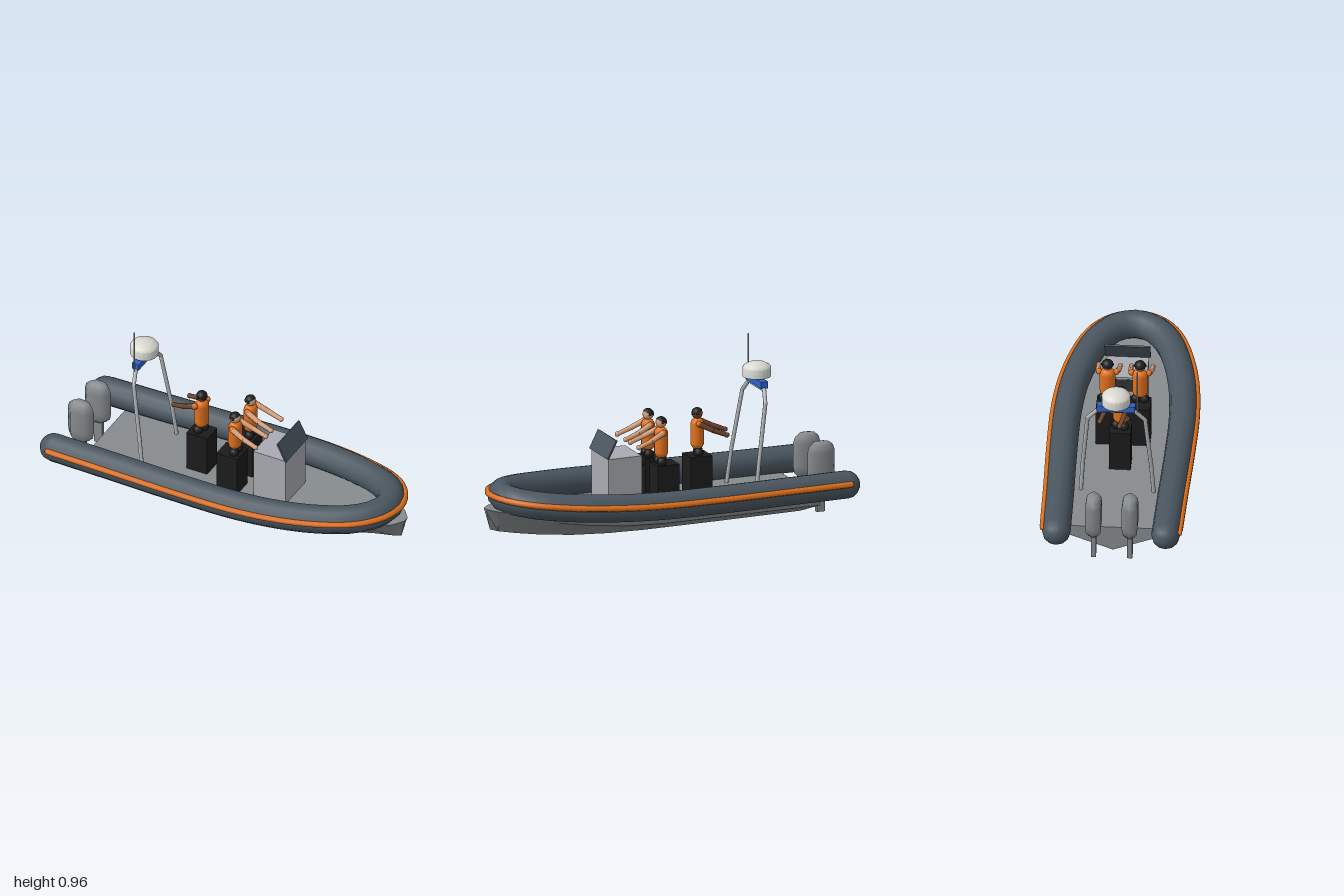
import * as THREE from 'three';
import { toCreasedNormals } from 'three/addons/utils/BufferGeometryUtils.js';

const mat = (name, color) => Object.assign(new THREE.MeshStandardMaterial({ color }), { name });
const V = (x, y, z) => new THREE.Vector3(x, y, z);

export function createModel() {
  const boat = new THREE.Group();
  boat.name = 'inflatableBoat';
  const rubber = mat('slate rubber', 0x4a5660), orange = mat('orange', 0xe2711d);
  const grey = mat('hull grey', 0x868b8e), panel = mat('console grey', 0xaaabb2);
  const metal = mat('light metal', 0xb4b8bc), black = mat('black', 0x1c1c1c);
  const darkSkin = mat('dark skin', 0x6b432c), lightSkin = mat('light skin', 0xd8a07a);
  const blue = mat('blue', 0x2f63cc), white = mat('off white', 0xdadad2);

  const add = (name, geo, material, x = 0, y = 0, z = 0, parent = boat) => {
    const m = new THREE.Mesh(geo, material);
    m.name = name;
    m.position.set(x, y, z);
    parent.add(m);
    return m;
  };
  const box = (w, h, d) => new THREE.BoxGeometry(w, h, d);
  // tapered rod between two points
  const rod = (name, a, b, r1, r2, material, parent) => {
    const d = b.clone().sub(a);
    const m = add(name, new THREE.CylinderGeometry(r2, r1, d.length(), 8), material, 0, 0, 0, parent);
    m.position.copy(a).addScaledVector(d, 0.5);
    m.quaternion.setFromUnitVectors(V(0, 1, 0), d.normalize());
    return m;
  };

  // Hull: keel x, sheer x, keel y, chine y, chine half width, sheer y, sheer half width
  const sections = [
    [-0.79, -0.79, 0.003, 0.1, 0.26, 0.145, 0.265],
    [-0.3, -0.3, 0, 0.1, 0.263, 0.147, 0.272],
    [0.1, 0.1, 0, 0.102, 0.263, 0.15, 0.272],
    [0.3, 0.3, 0.005, 0.11, 0.255, 0.158, 0.265],
    [0.5, 0.5, 0.018, 0.128, 0.23, 0.17, 0.24],
    [0.68, 0.69, 0.04, 0.152, 0.18, 0.185, 0.195],
    [0.82, 0.84, 0.064, 0.175, 0.12, 0.2, 0.135],
    [0.92, 0.95, 0.085, 0.192, 0.06, 0.211, 0.075],
    [0.968, 0.995, 0.1, 0.2, 0.012, 0.215, 0.018],
  ];
  const pos = [], idx = [], n = 5, last = (sections.length - 1) * n;
  sections.forEach(([kx, sx, ky, cy, cw, sy, sw], i) => {
    const cx = kx + (sx - kx) * 0.85;
    pos.push(sx, sy, sw, cx, cy, cw, kx, ky, 0, cx, cy, -cw, sx, sy, -sw);
    if (i * n === last) return;
    for (let j = 0; j < n; j++) {
      const a = i * n + j, d = i * n + (j + 1) % n;
      idx.push(a, d, d + n, a, d + n, a + n);
    }
  });
  for (let j = 1; j < n - 1; j++) idx.push(0, j + 1, j, last, last + j, last + j + 1);
  const hull = new THREE.BufferGeometry();
  hull.setAttribute('position', new THREE.Float32BufferAttribute(pos, 3));
  hull.setIndex(idx);
  add('hull', toCreasedNormals(hull, 0.45), grey);

  // Inflatable collar running round the bow, with rounded stern ends
  const half = [
    [-0.925, 0.203, 0.285], [-0.6, 0.204, 0.291], [-0.2, 0.206, 0.301], [0.15, 0.211, 0.302],
    [0.4, 0.222, 0.281], [0.6, 0.235, 0.239], [0.76, 0.25, 0.179], [0.855, 0.261, 0.1],
  ].map((p) => V(...p));
  const mirrored = half.slice().reverse().map((p) => V(p.x, p.y, -p.z));
  const path = new THREE.CatmullRomCurve3([...half, V(0.89, 0.265, 0), ...mirrored]);
  const R = 0.075;
  add('collarTube', new THREE.TubeGeometry(path, 64, R, 12), rubber);
  for (const s of [1, -1]) {
    add('collarEnd', new THREE.SphereGeometry(R, 12, 8).rotateZ(Math.PI / 2), rubber, -0.925, 0.203, s * 0.285);
  }

  // Rubbing strake along the outside of the collar
  const strake = [];
  for (let i = 0; i <= 48; i++) {
    const p = path.getPointAt(i / 48), t = path.getTangentAt(i / 48);
    strake.push(p.add(V(-t.z, 0, t.x).normalize().multiplyScalar(R - 0.003)).add(V(0, 0.018, 0)));
  }
  add('rubbingStrake', new THREE.TubeGeometry(new THREE.CatmullRomCurve3(strake), 96, 0.017, 6), orange);
  for (const i of [0, 48]) {
    add('strakeEnd', new THREE.SphereGeometry(0.016, 6, 4), orange, ...strake[i].toArray());
  }

  // Steering console, windscreen and wheel panel
  add('console', box(0.19, 0.295, 0.22), panel, 0.25, 0.2875, 0);
  add('windscreen', box(0.01, 0.11, 0.238), rubber, 0.325, 0.486, 0).rotation.z = 0.47;
  add('steeringPanel', box(0.01, 0.06, 0.15), black, 0.143, 0.395, 0).rotation.z = -0.47;

  // Seated crew, built facing +x and then turned
  const person = (x, z, yaw, skin) => {
    add('seat', box(0.122, 0.235, 0.112), black, x, 0.2575, z);
    const g = new THREE.Group();
    g.name = 'crewMember';
    g.position.set(x, 0, z);
    g.rotation.y = yaw;
    boat.add(g);
    for (const s of [1, -1]) {
      add('thigh', new THREE.SphereGeometry(0.026, 10, 8), black, 0.005, 0.388, s * 0.022, g);
      const shoulder = V(0.005, 0.55, s * 0.045), hand = V(0.15, 0.49, s * 0.056);
      const elbow = shoulder.clone().lerp(hand, 0.5).add(V(0, -0.004, s * 0.004));
      add('shoulder', new THREE.SphereGeometry(0.017, 8, 6), orange, ...shoulder.toArray(), g);
      rod('upperArm', shoulder, elbow, 0.016, 0.014, skin, g);
      rod('forearm', elbow, hand, 0.014, 0.012, skin, g);
      add('hand', new THREE.SphereGeometry(0.014, 8, 6), skin, ...hand.toArray(), g);
      add('earpiece', new THREE.SphereGeometry(0.008, 6, 5), black, 0, 0.6, s * 0.027, g);
    }
    add('torso', new THREE.CapsuleGeometry(0.036, 0.1, 4, 12), orange, 0, 0.489, 0, g).scale.z = 1.15;
    add('neck', new THREE.CylinderGeometry(0.013, 0.013, 0.03, 8), skin, 0, 0.57, 0, g);
    add('head', new THREE.SphereGeometry(0.029, 12, 10), skin, 0, 0.596, 0, g);
    const hair = new THREE.SphereGeometry(0.031, 12, 6, 0, Math.PI * 2, 0, Math.PI * 0.45);
    add('hair', hair, black, 0, 0.597, 0, g).rotation.z = 0.45;
  };
  person(0.015, 0.085, 0, lightSkin);
  person(0.015, -0.085, 0, lightSkin);
  person(-0.207, 0, Math.PI - 0.32, darkSkin);
  boat.children.filter((c) => c.name === 'crewMember').slice(0, 2).forEach((c) => { c.position.x = 0.035; });

  // Bent mast arch with straight segments
  const leg = [[-0.455, 0.14, 0.19], [-0.478, 0.33, 0.178], [-0.528, 0.65, 0.15], [-0.543, 0.71, 0.1]];
  const arch = [...leg, ...leg.slice().reverse().map(([x, y, z]) => [x, y, -z])].map((p) => V(...p));
  for (let i = 0; i < arch.length - 1; i++) {
    rod('archTube', arch[i], arch[i + 1], 0.011, 0.011, metal, boat);
    if (i) add('archJoint', new THREE.SphereGeometry(0.011, 8, 6), metal, ...arch[i].toArray());
  }
  add('archBar', box(0.04, 0.036, 0.2), blue, -0.545, 0.734, 0);
  add('radarMount', new THREE.CylinderGeometry(0.025, 0.025, 0.02, 12), white, -0.545, 0.757, 0);
  const dome = [[0, 0.76], [0.075, 0.76], [0.075, 0.808], [0.066, 0.82], [0.038, 0.834], [0, 0.836]];
  const domeGeo = new THREE.LatheGeometry(dome.map(([r, y]) => new THREE.Vector2(r, y)), 20);
  add('radarDome', toCreasedNormals(domeGeo, 0.7), white, -0.545, 0, 0);
  add('antenna', new THREE.CylinderGeometry(0.004, 0.004, 0.25, 6), metal, -0.545, 0.835, 0.111);

  // Twin outboard engines
  const cowl = [[0, 0.15], [0.045, 0.155], [0.07, 0.18], [0.077, 0.22], [0.077, 0.34], [0.068, 0.37], [0.045, 0.391], [0, 0.397]];
  for (const s of [1, -1]) {
    const geo = new THREE.LatheGeometry(cowl.map(([r, y]) => new THREE.Vector2(r, y)), 6);
    geo.rotateY(Math.PI / 2).scale(1, 1, 0.62);
    add('engineCowl', geo, grey, -0.868, 0, s * 0.095);
    add('engineLeg', box(0.046, 0.18, 0.026), grey, -0.862, 0.108, s * 0.095);
  }
  return boat;
}
